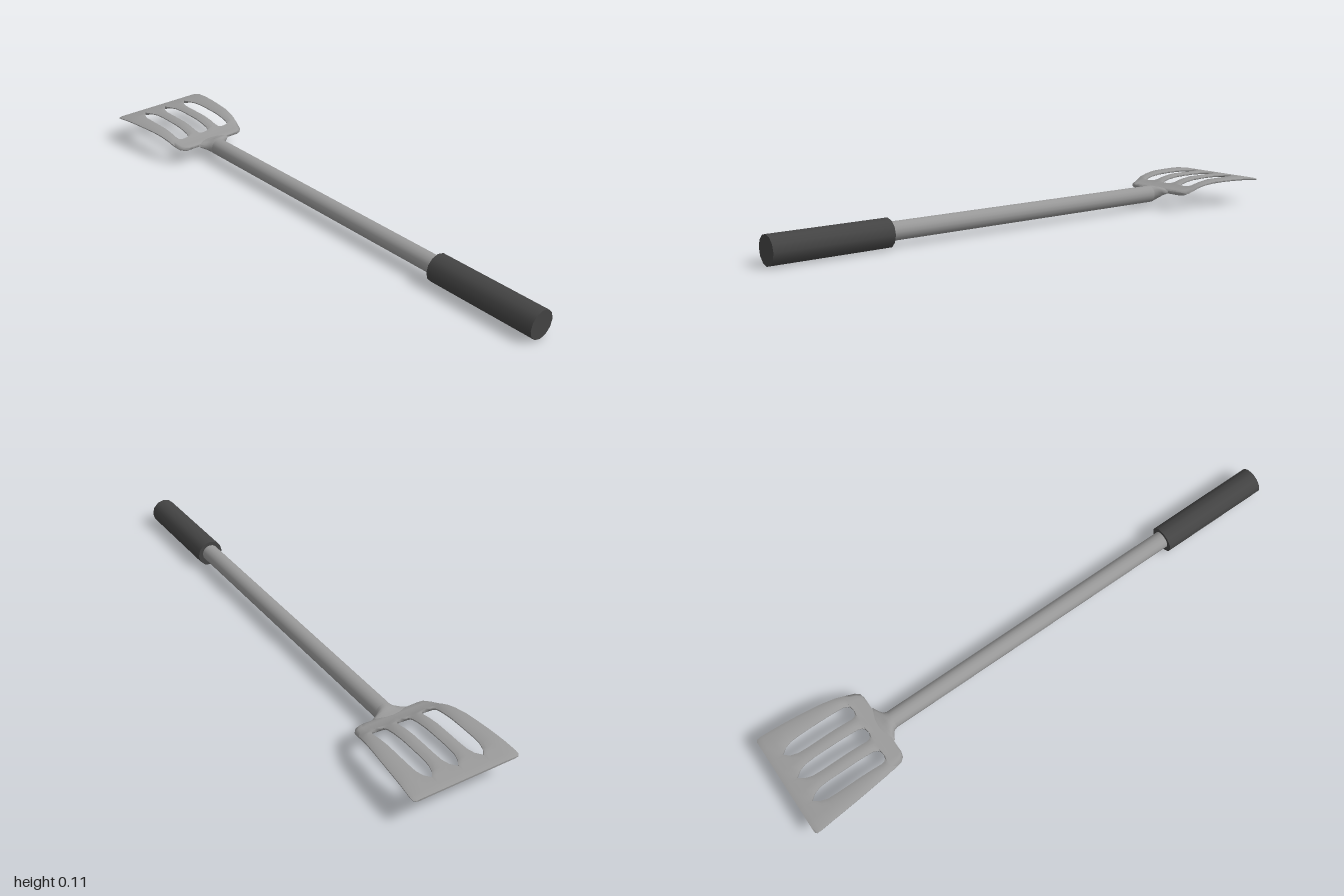
import * as THREE from 'three';
import { toCreasedNormals } from 'three/addons/utils/BufferGeometryUtils.js';

// Skin a row of closed rings (counter-clockwise seen from +z, running towards -z), with capped ends
function loft(rings) {
  const n = rings[0].length;
  const pos = rings.flat(2);
  const index = [];
  for (let i = 0; i < rings.length - 1; i++) {
    for (let j = 0; j < n; j++) {
      const k = (j + 1) % n;
      const a = i * n + j, b = i * n + k, c = a + n, d = b + n;
      index.push(a, c, b, b, c, d);
    }
  }
  [0, rings.length - 1].forEach((r, end) => {
    const centre = pos.length / 3;
    for (let axis = 0; axis < 3; axis++) {
      pos.push(rings[r].reduce((sum, p) => sum + p[axis], 0) / n);
    }
    for (let j = 0; j < n; j++) {
      const a = r * n + j, b = r * n + (j + 1) % n;
      if (end === 0) index.push(centre, a, b);
      else index.push(centre, b, a);
    }
  });
  const g = new THREE.BufferGeometry();
  g.setAttribute('position', new THREE.Float32BufferAttribute(pos, 3));
  g.setIndex(index);
  return toCreasedNormals(g, Math.PI / 3);
}

export function createModel() {
  const model = new THREE.Group();
  model.name = 'slottedTurner';
  const metal = new THREE.MeshStandardMaterial({ color: 0x999999 });
  metal.name = 'brushedMetal';
  const rubber = new THREE.MeshStandardMaterial({ color: 0x444444 });
  rubber.name = 'darkGrip';

  const add = (name, geometry, material, parent = model) => {
    const mesh = new THREE.Mesh(geometry, material);
    mesh.name = name;
    parent.add(mesh);
    return mesh;
  };
  const rod = (radius, z0, z1, sides) =>
    new THREE.CylinderGeometry(radius, radius, z1 - z0, sides)
      .rotateX(Math.PI / 2).translate(0, 0, (z0 + z1) / 2);

  // Grip and shaft
  add('grip', rod(0.05, 0.583, 1, 12), rubber).position.y = 0.05;
  add('shaft', rod(0.032, -0.59, 0.6, 16), metal).position.y = 0.053;

  // Neck flattening and flaring from the shaft into the blade: z, y, half width, half height
  const neck = [
    [-0.585, 0.053, 0.032, 0.032], [-0.597, 0.055, 0.036, 0.03],
    [-0.608, 0.059, 0.052, 0.023], [-0.617, 0.063, 0.069, 0.015],
    [-0.627, 0.066, 0.07, 0.011], [-0.64, 0.067, 0.055, 0.008],
  ];
  add('neck', loft(neck.map(([z, y, w, h]) =>
    Array.from({ length: 16 }, (_, i) => {
      const a = i / 16 * Math.PI * 2;
      return [w * Math.cos(a), y + h * Math.sin(a), z];
    }))), metal);

  // Blade rows: z, half width, height, slot half width, half thickness
  const rows = [
    [-0.621, 0.115, 0.066, 0, 0.005], [-0.626, 0.134, 0.066, 0, 0.008],
    [-0.64, 0.146, 0.067, 0, 0.009], [-0.66, 0.152, 0.073, 0, 0.009],
    [-0.675, 0.156, 0.079, 0, 0.008], [-0.679, 0.157, 0.081, 0.014, 0.008],
    [-0.686, 0.158, 0.084, 0.022, 0.008], [-0.7, 0.162, 0.089, 0.026, 0.008],
    [-0.73, 0.167, 0.096, 0.026, 0.007], [-0.77, 0.173, 0.101, 0.026, 0.007],
    [-0.82, 0.179, 0.102, 0.026, 0.006], [-0.87, 0.184, 0.102, 0.026, 0.006],
    [-0.905, 0.187, 0.101, 0.024, 0.006], [-0.93, 0.189, 0.1, 0.016, 0.006],
    [-0.952, 0.191, 0.098, 0, 0.005], [-0.98, 0.193, 0.095, 0, 0.005],
    [-0.994, 0.192, 0.093, 0, 0.004], [-1, 0.185, 0.092, 0, 0.003],
  ];
  const slots = [-0.094, 0, 0.094];
  const blade = new THREE.Group();
  blade.name = 'blade';
  model.add(blade);

  // Four bars meet where the slots close and part where they open
  for (let b = 0; b < 4; b++) {
    const rings = rows.map(([z, half, y, slot, t]) => {
      const left = b === 0 ? -half : slots[b - 1] + slot;
      const right = b === 3 ? half : slots[b] - slot;
      const inset = Math.min(0.012, (right - left) / 3);
      // Free edges are rounded off, joined edges keep the full thickness
      const tl = b === 0 || slot > 0 ? t * 0.3 : t;
      const tr = b === 3 || slot > 0 ? t * 0.3 : t;
      const section = [
        [left, tl], [left + inset, t], [(left + right) / 2, t], [right - inset, t], [right, tr],
      ];
      return [
        ...section.map(([x, h]) => [x, y - h, z]),
        ...section.reverse().map(([x, h]) => [x, y + h, z]),
      ];
    });
    add('bladeBar' + (b + 1), loft(rings), metal, blade);
  }

  return model;
}
